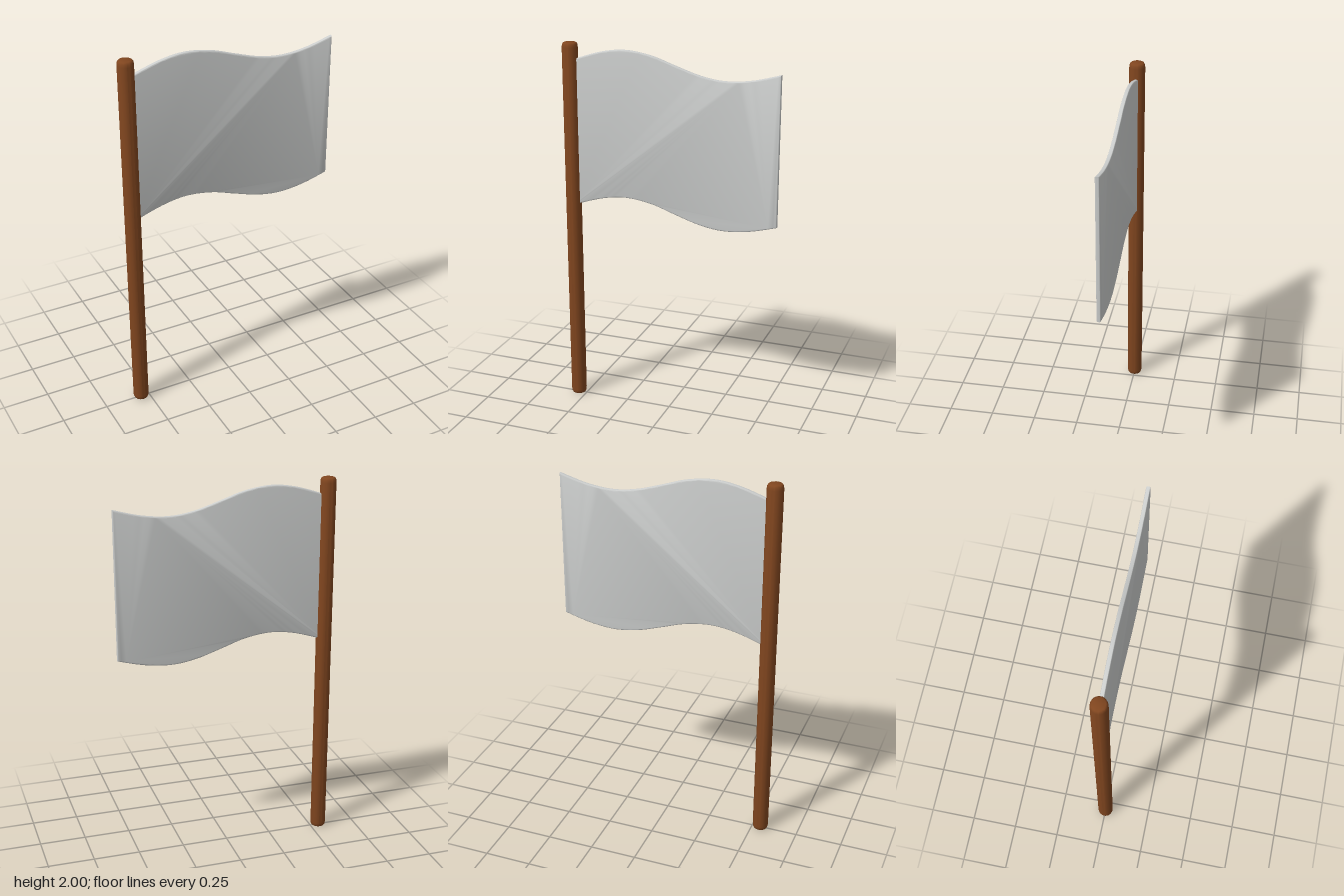
import * as THREE from 'three';
import { toCreasedNormals } from 'three/addons/utils/BufferGeometryUtils.js';

const POLE_X = -0.546, POLE_R = 0.042, HEIGHT = 2;
const CLOTH_DROP = 0.785, CLOTH_THICK = 0.022, BEVEL = 0.007;

export function createModel() {
  const wood = new THREE.MeshStandardMaterial({ color: 0x81461f });
  wood.name = 'brown wood';
  const fabric = new THREE.MeshStandardMaterial({ color: 0xcdcfce });
  fabric.name = 'pale grey cloth';

  const group = new THREE.Group();
  group.name = 'flag';

  // Pole: round shaft with softened ends
  const v = (x, y) => new THREE.Vector2(x, y);
  const end = [v(0, 0), v(0.031, 0), v(0.036, 0.003), v(0.04, 0.011), v(POLE_R, 0.025)];
  const profile = [...end, ...end.map((p) => v(p.x, HEIGHT - p.y)).reverse()];
  const pole = new THREE.Mesh(toCreasedNormals(new THREE.LatheGeometry(profile, 16, Math.PI / 16), 0.7), wood);
  pole.name = 'pole';
  pole.position.x = POLE_X;
  group.add(pole);

  // Cloth: one wave along the top, repeated along the bottom
  const top = new THREE.SplineCurve([
    v(-0.54, 1.907), v(-0.505, 1.921), v(-0.37, 1.963), v(-0.24, 1.98), v(-0.1, 1.962),
    v(0.03, 1.92), v(0.17, 1.877), v(0.3, 1.86), v(0.44, 1.874), v(0.585, 1.912),
  ]).getPoints(48);
  const bottom = top.map((p) => v(p.x, p.y - CLOTH_DROP));
  const outline = new THREE.Shape([...bottom, ...top.reverse()]);
  const clothGeometry = new THREE.ExtrudeGeometry(outline, {
    depth: CLOTH_THICK - 2 * BEVEL,
    bevelEnabled: true,
    bevelThickness: BEVEL,
    bevelSize: BEVEL,
    bevelOffset: -BEVEL,
    bevelSegments: 3,
  });
  clothGeometry.translate(0, 0, BEVEL - CLOTH_THICK / 2);
  const cloth = new THREE.Mesh(toCreasedNormals(clothGeometry, 0.7), fabric);
  cloth.name = 'cloth';
  group.add(cloth);

  return group;
}
